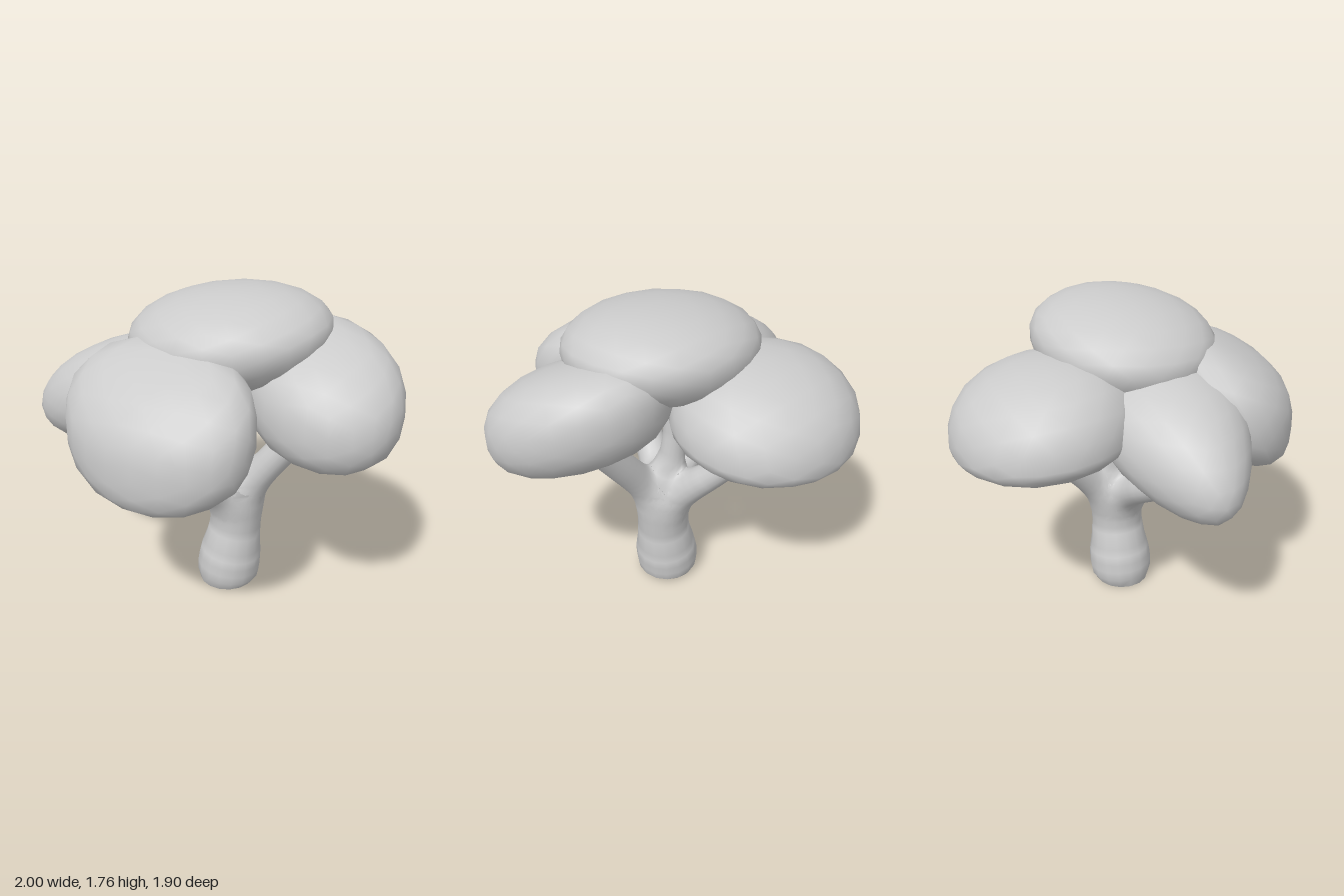
import * as THREE from 'three';
import { mergeVertices } from 'three/addons/utils/BufferGeometryUtils.js';

const material = new THREE.MeshStandardMaterial({ color: 0xcccccc });

// Leaf cushion: a rounded puff, sheared so that it leans outwards.
// size = [x, up, down, z]; lean = [z per x, y per x, y per z];
// p = squareness; taper narrows the puff towards -x
function foliage([cx, cy, cz], [a, up, down, c], [zx, yx, yz], p, taper = 0) {
  const geometry = new THREE.IcosahedronGeometry(1, 3);
  const pos = geometry.attributes.position;
  for (let i = 0; i < pos.count; i++) {
    const u = pos.getX(i), v = pos.getY(i), w = pos.getZ(i);
    const s = Math.pow(Math.pow(Math.hypot(u, w), p) + Math.pow(Math.abs(v), p), -1 / p);
    const x = a * u * s;
    const z = c * w * s * (1 + taper * u * s) + zx * x;
    const y = (v > 0 ? up : down) * v * s + yx * x + yz * z;
    pos.setXYZ(i, cx + x, cy + y, cz + z);
  }
  geometry.deleteAttribute('uv');
  geometry.deleteAttribute('normal');
  const welded = mergeVertices(geometry, 1e-4);
  welded.computeVertexNormals();
  return welded;
}

// Trunk and branches as paths of [x, y, z, radius]
const limbs = {
  trunk: [
    [0.05, 0, 0.03, 0.146], [0.06, 0.1, 0.025, 0.186], [0.082, 0.26, 0.02, 0.162], [0.103, 0.43, 0.015, 0.136],
    [0.1, 0.58, 0.01, 0.13], [0.085, 0.75, -0.01, 0.09], [0.06, 0.95, -0.04, 0.065], [0.05, 1.42, -0.03, 0.07],
  ],
  frontBranch: [[0.09, 0.5, 0.02, 0.08], [-0.01, 0.7, 0.2, 0.09], [-0.1, 0.86, 0.4, 0.09], [-0.14, 1.03, 0.58, 0.075]],
  leftBranch: [[0.11, 0.5, 0.015, 0.08], [0.24, 0.72, 0.05, 0.085], [0.39, 0.92, 0.055, 0.085], [0.58, 1.15, 0.05, 0.075]],
  rightBranch: [[0.07, 0.55, 0.02, 0.08], [-0.18, 0.715, 0.06, 0.076], [-0.4, 0.84, 0.11, 0.064], [-0.65, 0.98, 0.15, 0.055]],
  backBranch: [[0.1, 0.5, 0, 0.08], [0.06, 0.72, -0.18, 0.085], [0, 0.9, -0.35, 0.072], [-0.08, 1.13, -0.53, 0.065]],
};

// Sample each path into short conical links
const SAMPLES = 16;
const chains = Object.values(limbs).map((points) => {
  const path = new THREE.CatmullRomCurve3(points.map(([x, y, z]) => new THREE.Vector3(x, y, z)));
  const radii = new THREE.SplineCurve(points.map((q, i) => new THREE.Vector2(i, q[3])));
  return Array.from({ length: SAMPLES + 1 }, (_, i) => ({
    p: path.getPoint(i / SAMPLES), r: radii.getPoint(i / SAMPLES).y,
  }));
});

// Distance to one limb
const link = new THREE.Vector3(), offset = new THREE.Vector3();
function limbDistance(chain, point) {
  let best = Infinity;
  for (let i = 0; i < SAMPLES; i++) {
    const a = chain[i], b = chain[i + 1];
    link.subVectors(b.p, a.p);
    offset.subVectors(point, a.p);
    const t = THREE.MathUtils.clamp(offset.dot(link) / link.lengthSq(), 0, 1);
    best = Math.min(best, offset.addScaledVector(link, -t).length() - THREE.MathUtils.lerp(a.r, b.r, t));
  }
  return best;
}

// Distance to all limbs, blended softly where they join
const BLEND = 0.035;
const woodDistance = (point) =>
  -BLEND * Math.log(chains.reduce((sum, chain) => sum + Math.exp(-limbDistance(chain, point) / BLEND), 0));

function woodNormal(point) {
  const e = 0.002;
  const slope = ['x', 'y', 'z'].map((axis) => {
    const q = point.clone();
    q[axis] += e;
    const ahead = woodDistance(q);
    q[axis] -= 2 * e;
    return ahead - woodDistance(q);
  });
  return new THREE.Vector3(...slope).normalize();
}

// Tube along one limb, settled onto the blended surface
function limbGeometry(chain, sides = 16, steps = 30) {
  const path = new THREE.CatmullRomCurve3(chain.map((s) => s.p));
  const geometry = new THREE.TubeGeometry(path, steps, 1, sides);
  const pos = geometry.attributes.position, normals = geometry.attributes.normal;
  const v = new THREE.Vector3();
  for (let k = 0; k < pos.count; k++) {
    const t = path.getUtoTmapping(Math.floor(k / (sides + 1)) / steps);
    const centre = path.getPoint(t);
    const r = chain[Math.round(t * SAMPLES)].r;
    v.fromBufferAttribute(pos, k).sub(centre).multiplyScalar(r).add(centre);
    for (let n = 0; n < 6; n++) v.addScaledVector(woodNormal(v), -woodDistance(v));
    // Keep the foot of the trunk flat on the ground
    if (centre.y === 0) v.y = 0;
    const normal = woodNormal(v);
    pos.setXYZ(k, v.x, v.y, v.z);
    normals.setXYZ(k, normal.x, normal.y, normal.z);
  }
  return geometry;
}

export function createModel() {
  const model = new THREE.Group();
  const add = (name, geometry) => {
    const mesh = new THREE.Mesh(geometry, material);
    mesh.name = name;
    model.add(mesh);
    return mesh;
  };

  // Trunk and its branches, closed underneath
  Object.keys(limbs).forEach((name, i) => add(name, limbGeometry(chains[i])));
  const base = add('trunkBase', new THREE.CircleGeometry(0.146, 16));
  base.rotation.x = Math.PI / 2;
  base.position.set(0.05, 0, 0.03);

  // Five overlapping cushions of leaves
  add('topFoliage', foliage([0.065, 1.53, 0.04], [0.54, 0.23, 0.28, 0.49], [0, 0.07, -0.05], 2.1));
  add('frontFoliage', foliage([-0.14, 1.21, 0.58], [0.515, 0.285, 0.285, 0.36], [0.2, 0.09, -0.44], 3));
  add('leftFoliage', foliage([0.57, 1.285, 0.12], [0.43, 0.285, 0.275, 0.41], [0.23, -0.05, -0.28], 2.6));
  add('rightFoliage', foliage([-0.53, 1.19, 0.13], [0.47, 0.275, 0.265, 0.36], [-0.05, 0.3, 0], 2.1, 0.35));
  add('backFoliage', foliage([-0.17, 1.2, -0.47], [0.51, 0.34, 0.17, 0.48], [0, 0, 0.1], 2.3));

  return model;
}
